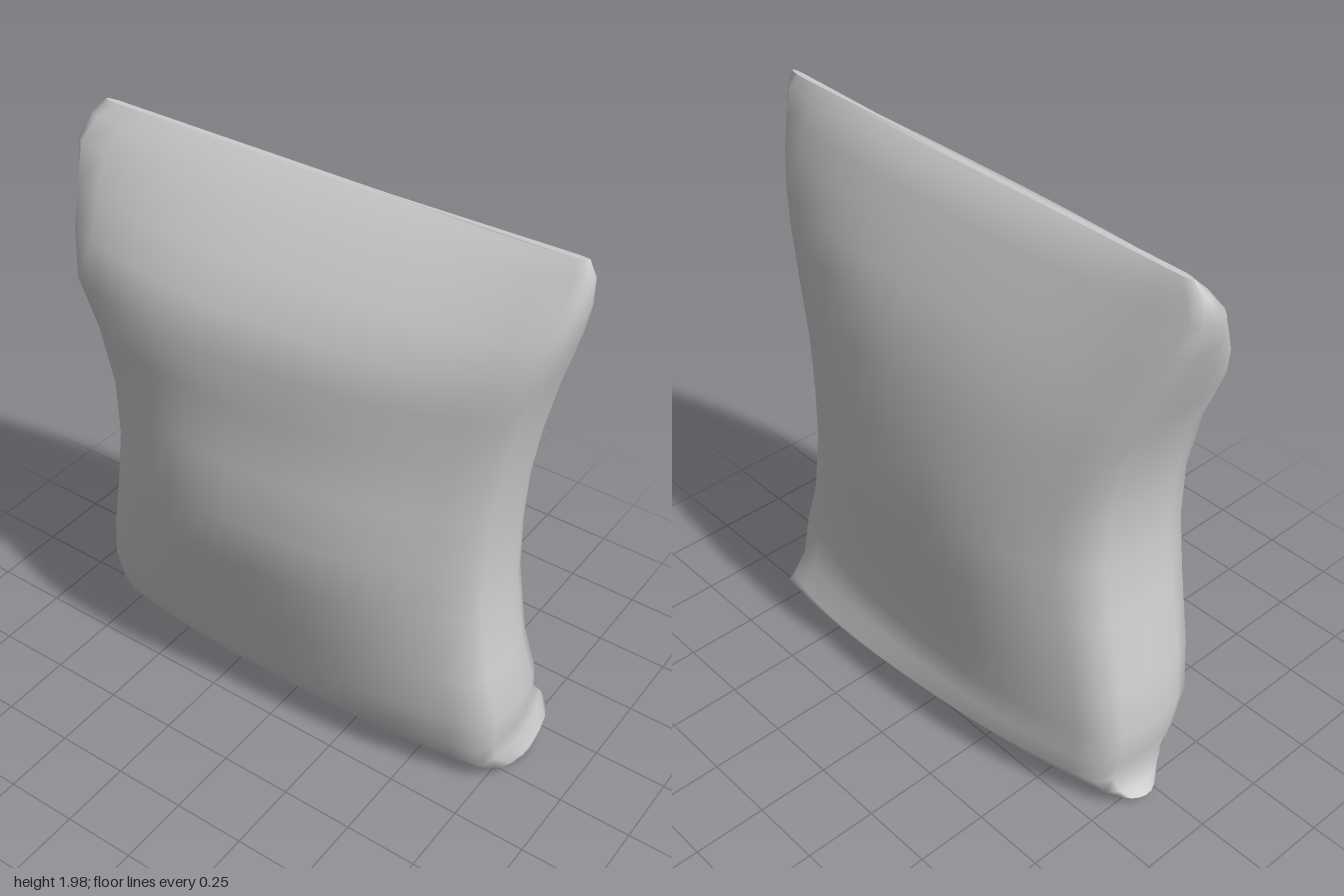
import * as THREE from 'three';

// Cross-sections, bottom to top: height, right and left half-width,
// centre front/back depth, front corner right/left, back corner right/left
const SECTIONS = [
  [0.03, 0.81, 0.81, 0.06, -0.28, 0.02, -0.02, -0.14, -0.24],
  [0.06, 0.78, 0.815, 0.14, -0.33, 0.07, 0.04, -0.18, -0.30],
  [0.11, 0.755, 0.785, 0.18, -0.35, 0.12, 0.10, -0.20, -0.30],
  [0.20, 0.77, 0.785, 0.22, -0.315, 0.15, 0.13, -0.20, -0.24],
  [0.33, 0.78, 0.80, 0.245, -0.31, 0.17, 0.14, -0.20, -0.20],
  [0.50, 0.75, 0.75, 0.28, -0.32, 0.19, 0.14, -0.20, -0.19],
  [0.75, 0.69, 0.71, 0.34, -0.345, 0.21, 0.14, -0.20, -0.19],
  [0.95, 0.655, 0.705, 0.365, -0.36, 0.22, 0.14, -0.20, -0.19],
  [1.15, 0.66, 0.715, 0.34, -0.35, 0.22, 0.14, -0.20, -0.19],
  [1.35, 0.70, 0.745, 0.315, -0.33, 0.23, 0.13, -0.20, -0.19],
  [1.52, 0.765, 0.785, 0.325, -0.295, 0.24, 0.13, -0.17, -0.18],
  [1.65, 0.82, 0.825, 0.28, -0.25, 0.18, 0.12, -0.14, -0.16],
  [1.77, 0.86, 0.86, 0.20, -0.195, 0.11, 0.09, -0.12, -0.13],
  [1.87, 0.89, 0.88, 0.10, -0.15, 0.05, 0.04, -0.09, -0.10],
  [1.94, 0.865, 0.88, 0.03, -0.11, 0.00, 0.00, -0.08, -0.08],
  [1.985, 0.82, 0.855, -0.04, -0.06, -0.04, -0.04, -0.06, -0.06],
];
const FACE = 16; // steps across the front and back
const SIDE = 6; // steps across each side
const EDGE = 0.95; // where the faces turn into the sides

// One closed ring: front, left side, back, right side
function ring([y, wr, wl, zf, zb, fr, fl, br, bl]) {
  const points = [];
  const low = Math.max(0, 1 - y / 0.3);
  const add = (u, z) => {
    const x = u * (u < 0 ? wr : wl);
    // arched, slightly skewed base that rises towards the back
    const sag = low * (0.04 * (1 - u * u) - 0.015 * u);
    const rise = low * low * 0.2 * Math.max(0, -0.04 - z);
    const lift = y > 1.9 ? 0.015 * Math.max(0, u) ** 3 : 0;
    points.push([x, y + sag + rise + lift, z]);
  };
  const face = (dir, centre, start, end) => {
    for (let i = 0; i < FACE; i++) {
      const t = -1 + (2 * i) / FACE;
      const corner = start + ((end - start) * (t + 1)) / 2;
      const bulge = 1 - Math.abs(t) ** 2.4;
      const middle = (start + end) / 2;
      add(dir * t * EDGE, corner + (centre - middle) * bulge);
    }
  };
  const side = (dir, from, to) => {
    for (let i = 0; i < SIDE; i++) {
      const t = i / SIDE;
      const out = Math.sin(Math.PI * t) ** 0.7;
      add(dir * (EDGE + (1 - EDGE) * out), from + (to - from) * t);
    }
  };
  face(1, zf, fr, fl);
  side(1, fl, bl);
  face(-1, zb, bl, br);
  side(-1, br, fr);
  return points;
}

function makeMesh(name, points, index) {
  const geometry = new THREE.BufferGeometry();
  geometry.setAttribute('position', new THREE.Float32BufferAttribute(points.flat(), 3));
  geometry.setIndex(index);
  geometry.computeVertexNormals();
  const mesh = new THREE.Mesh(geometry, new THREE.MeshStandardMaterial({ color: 0xcccccc }));
  mesh.name = name;
  return mesh;
}

// Soft padded wall lofted through the rings
function makeBody(rings) {
  const n = rings[0].length;
  const index = [];
  for (let i = 0; i < rings.length - 1; i++) {
    for (let j = 0; j < n; j++) {
      const k = (j + 1) % n;
      const a = i * n + j, b = i * n + k;
      index.push(a, b, b + n, a, b + n, a + n);
    }
  }
  return makeMesh('pillowBody', rings.flat(), index);
}

// Closing panel fanned from a centre point
function makeCap(name, points, centre, up) {
  const n = points.length;
  const index = [];
  for (let j = 0; j < n; j++) {
    const k = (j + 1) % n;
    if (up) index.push(j, k, n);
    else index.push(k, j, n);
  }
  return makeMesh(name, [...points, centre], index);
}

export function createModel() {
  const group = new THREE.Group();
  group.name = 'pillow';
  const rings = SECTIONS.map(ring);
  group.add(makeBody(rings));
  group.add(makeCap('bottomPanel', rings[0], [0, 0.08, -0.1], false));
  group.add(makeCap('topSeam', rings[rings.length - 1], [0, 1.987, -0.05], true));
  return group;
}
